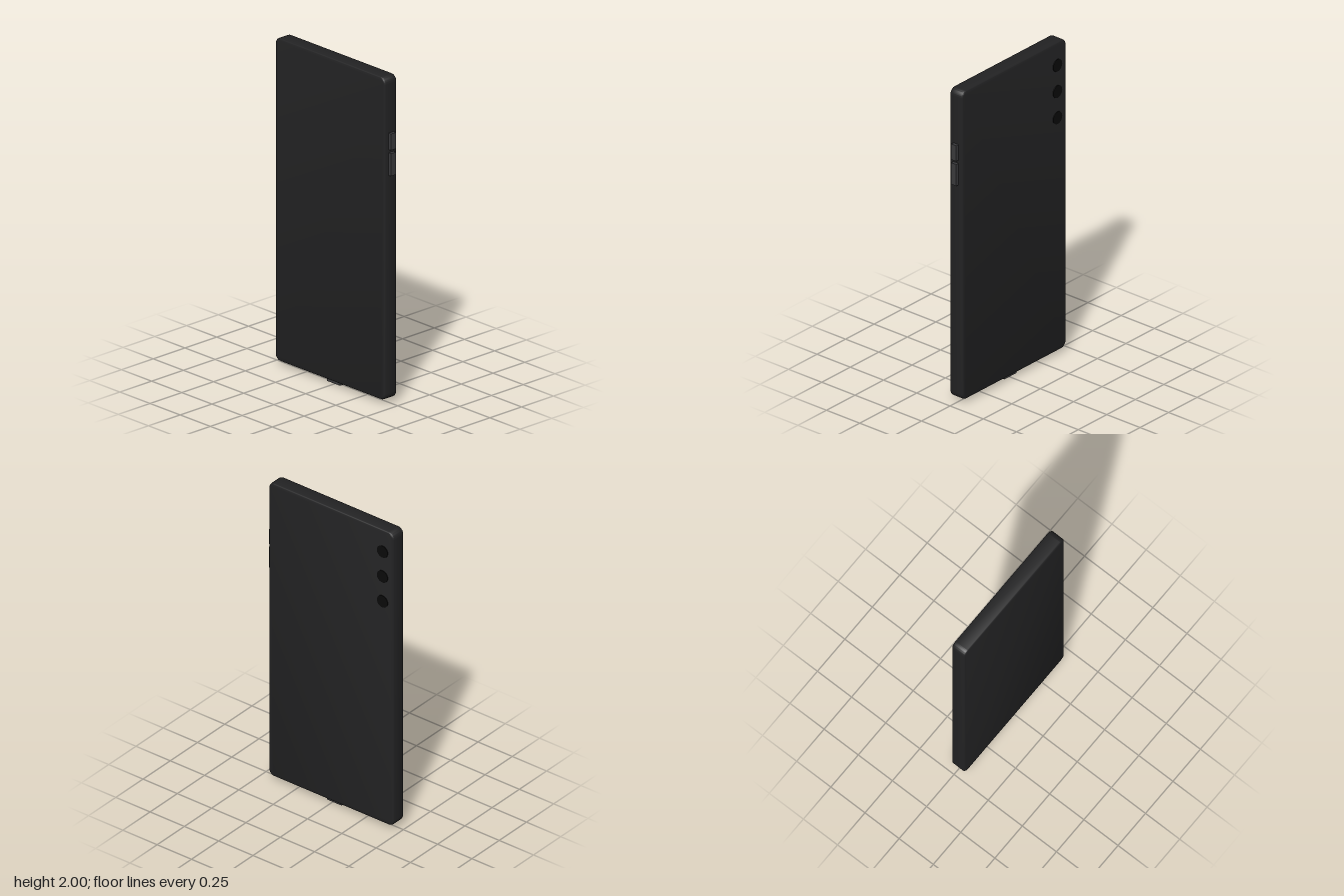
import * as THREE from 'three';
import { toCreasedNormals } from 'three/addons/utils/BufferGeometryUtils.js';

const bodyMat = new THREE.MeshStandardMaterial({ color: 0x222223 });
const trimMat = new THREE.MeshStandardMaterial({ color: 0x3a3a3c });
const lensMat = new THREE.MeshStandardMaterial({ color: 0x0a0a0a });

// Rectangle with rounded corners, centred on the origin
function roundedRect(w, h, r) {
  const s = new THREE.Shape();
  const x = w / 2 - r, y = h / 2 - r;
  s.absarc(x, y, r, 0, Math.PI / 2);
  s.absarc(-x, y, r, Math.PI / 2, Math.PI);
  s.absarc(-x, -y, r, Math.PI, Math.PI * 1.5);
  s.absarc(x, -y, r, Math.PI * 1.5, Math.PI * 2);
  s.closePath();
  return s;
}

export function createModel() {
  const group = new THREE.Group();
  const add = (name, geometry, material, x, y, z) => {
    const mesh = new THREE.Mesh(geometry, material);
    mesh.name = name;
    mesh.position.set(x, y, z);
    group.add(mesh);
    return mesh;
  };

  // Slab body with rounded corners and softened front and back rims
  const w = 0.912, h = 1.975, d = 0.096, bevel = 0.013;
  const slab = new THREE.ExtrudeGeometry(roundedRect(w - 2 * bevel, h - 2 * bevel, 0.027), {
    depth: d - 2 * bevel, bevelEnabled: true, bevelSize: bevel,
    bevelThickness: bevel, bevelSegments: 4, curveSegments: 8,
  });
  slab.translate(0, 0, -(d / 2 - bevel));
  const cx = -0.01, cz = 0.0015;
  add('body', toCreasedNormals(slab, 0.6), bodyMat, cx, 0.025 + h / 2, cz);

  // Side buttons: [name, centre height, length]
  for (const [name, y, len] of [['upperButton', 1.608, 0.1], ['lowerButton', 1.469, 0.138]])
    add(name, new THREE.BoxGeometry(0.04, len, 0.038), trimMat, 0.446, y, cz);

  // Charging connector under the bottom edge
  add('chargingPort', new THREE.BoxGeometry(0.108, 0.04, 0.038), trimMat, cx, 0.02, cz);

  // Column of three camera lenses on the back
  for (let i = 0; i < 3; i++) {
    const lens = add('cameraLens' + (i + 1), new THREE.CylinderGeometry(0.039, 0.039, 0.02, 32),
      lensMat, -0.386, 1.855 - i * 0.168, -0.0405);
    lens.rotation.x = Math.PI / 2;
  }

  return group;
}
